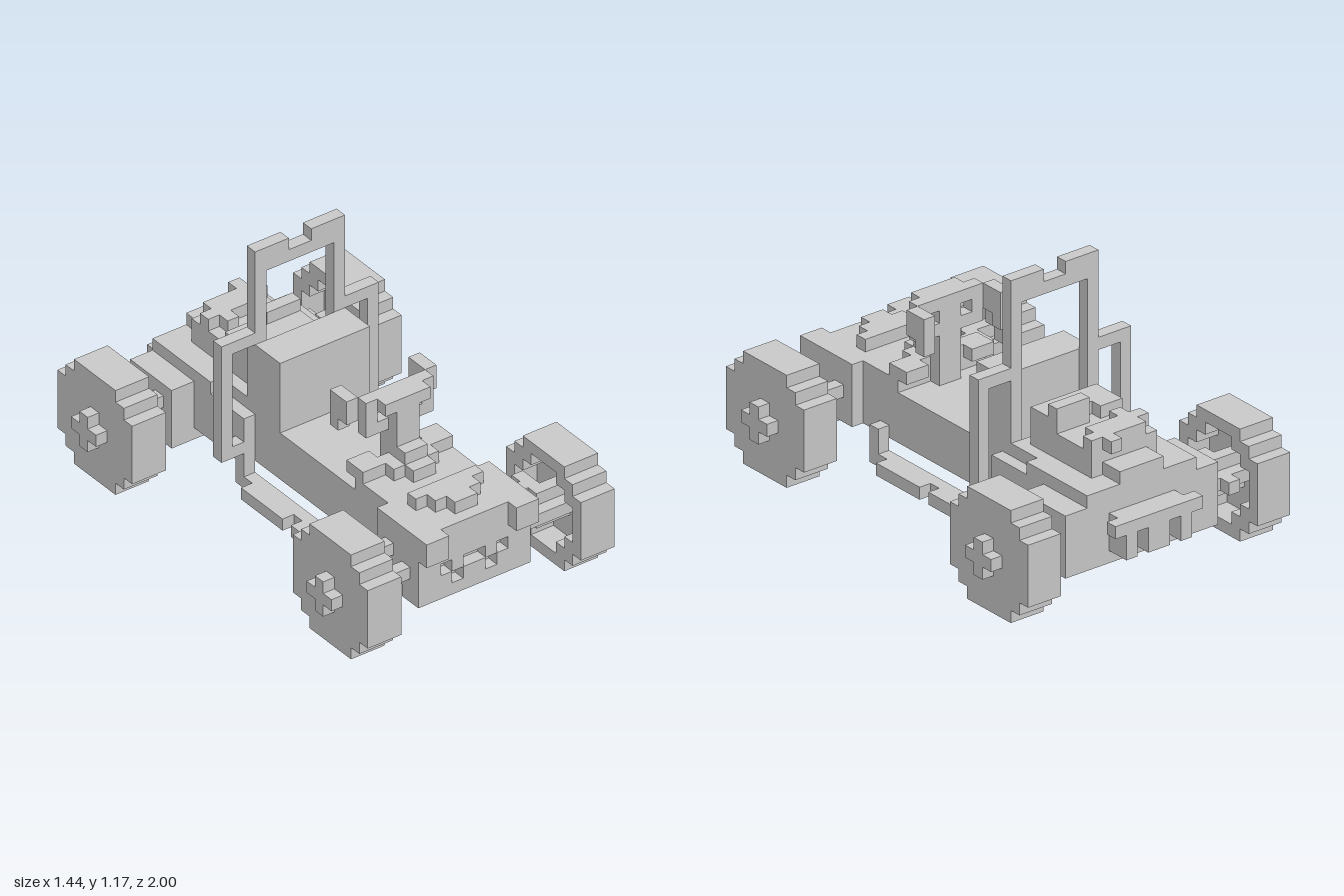
import * as THREE from 'three';

const U = 1 / 18; // one block

export function createModel() {
  const root = new THREE.Group();
  const grey = new THREE.MeshStandardMaterial({ color: 0xc8c8c8 });
  grey.name = 'plain grey';

  function part(name) {
    const g = new THREE.Group();
    g.name = name;
    root.add(g);
    return g;
  }
  // Box given by its limits in blocks
  function box(parent, name, x0, x1, y0, y1, z0, z1) {
    const m = new THREE.Mesh(new THREE.BoxGeometry((x1 - x0) * U, (y1 - y0) * U, (z1 - z0) * U), grey);
    m.position.set((x0 + x1) / 2 * U, (y0 + y1) / 2 * U, (z0 + z1) / 2 * U);
    m.name = name;
    parent.add(m);
  }
  function pair(parent, name, x0, x1, ...rest) {
    box(parent, name + 'Left', x0, x1, ...rest);
    box(parent, name + 'Right', -x1, -x0, ...rest);
  }

  // Stepped round outline from corner points of one quadrant
  function stepped(quadrant, Type) {
    const pts = [];
    for (let q = 0; q < 4; q++) {
      for (const [x, y] of quadrant) {
        const p = new THREE.Vector2(x * U, y * U);
        pts.push(p.rotateAround(new THREE.Vector2(), q * Math.PI / 2));
      }
    }
    return new Type(pts);
  }
  const tyreSteps = [[4.5, 2.5], [3.5, 2.5], [3.5, 3.5], [2.5, 3.5], [2.5, 4.5]];
  const rimSteps = [[3.5, 1.5], [2.5, 1.5], [2.5, 2.5], [1.5, 2.5], [1.5, 3.5]];
  const hubSteps = [[1.5, 0.5], [0.5, 0.5], [0.5, 1.5]];

  function disc(parent, name, outline, x0, x1, z, hole) {
    const s = stepped(outline, THREE.Shape);
    if (hole) s.holes.push(stepped(hole, THREE.Path));
    const geo = new THREE.ExtrudeGeometry(s, { depth: (x1 - x0) * U, bevelEnabled: false });
    geo.rotateY(Math.PI / 2);
    const m = new THREE.Mesh(geo, grey);
    m.position.set(x0 * U, 4.5 * U, z * U);
    m.name = name;
    parent.add(m);
  }

  // Wheels: solid outer face, hollow inner side, cross-shaped hubs
  for (const [end, xi, z] of [['front', 8, 13.5], ['rear', 9, -13.5]]) {
    for (const side of [1, -1]) {
      const g = part(end + 'Wheel' + (side > 0 ? 'Left' : 'Right'));
      const layer = (name, o, a, b, h) =>
        disc(g, name, o, Math.min(side * a, side * b), Math.max(side * a, side * b), z, h);
      layer('tyreFace', tyreSteps, xi + 2, xi + 3);
      layer('tyreRing', tyreSteps, xi, xi + 2, rimSteps);
      layer('hubCross', hubSteps, xi + 3, xi + 4);
      layer('innerHub', hubSteps, xi - 1, xi + 2);
    }
  }
  const axles = part('axles');
  pair(axles, 'frontArmLower', 5, 8, 4, 5, 14, 15);
  pair(axles, 'frontArmUpper', 5, 8, 5, 6, 12, 13);
  pair(axles, 'steeringLink', 7, 8, 4, 6, 11, 12);
  pair(axles, 'rearArmLower', 7, 9, 4, 5, -15, -14);
  pair(axles, 'rearArmUpper', 7, 9, 5, 6, -13, -12);
  pair(axles, 'rearHubBlock', 8, 9, 4, 5, -16, -11);

  // Hood with vented nose
  const hood = part('hood');
  box(hood, 'hoodBack', -4, 4, 3, 8, 9, 11);
  box(hood, 'hoodFront', -5, 5, 3, 8, 11, 15);
  box(hood, 'keel', -2, 2, 2, 3, 9, 14);
  box(hood, 'noseTop', -5, 5, 5, 8, 15, 16);
  box(hood, 'noseSkirt', -5, 5, 2, 3, 14, 16);
  pair(hood, 'noseSide', 3, 5, 3, 5, 15, 16);
  pair(hood, 'grilleTooth', 1, 2, 4, 5, 15, 16);
  pair(hood, 'grilleOuterTooth', 2, 3, 3, 4, 15, 16);
  box(hood, 'grilleMiddleTooth', -1, 1, 3, 4, 15, 16);
  pair(hood, 'headlamp', 3, 5, 6, 8, 16, 17);
  for (let i = 0; i < 3; i++) box(hood, 'hoodChevron', i - 3, 3 - i, 8, 9, 12 + i, 13 + i);

  // Cockpit floor and the slatted frame underneath
  const chassis = part('chassis');
  box(chassis, 'floor', -4, 4, 5, 7, -9, 9);
  pair(chassis, 'frameRail', 3, 4, 3, 5, -9, 9);
  for (let z = -9; z < 9; z += 4) box(chassis, 'crossSlat', -3, 3, 3, 5, z, z + 1);
  pair(chassis, 'rearSidePanel', 4, 5, 3, 7, -9, -5);

  // Side skid bars with a widened step at each seat end
  const skids = part('skidBars');
  for (const z of [8, -6]) pair(skids, 'strut', 4, 5, 1, 4, z, z + 1);
  pair(skids, 'bar', 4, 5, 1, 2, -5, 8);
  pair(skids, 'frontStep', 5, 6, 1, 2, 2, 7);
  pair(skids, 'rearStep', 5, 6, 1, 2, -4, 1);

  // Dashboard, steering column and yoke
  const steering = part('steering');
  box(steering, 'dashboard', -4, 4, 7, 8, 7, 9);
  box(steering, 'dashTop', -2, 2, 8, 9, 7, 9);
  box(steering, 'dashPoint', -1, 1, 8, 9, 9, 10);
  pair(steering, 'dashWing', 2, 4, 8, 9, 6, 8);
  box(steering, 'columnBase', -1, 1, 9, 10, 6, 9);
  box(steering, 'column', -1, 1, 7, 9, 6, 7);
  box(steering, 'columnTop', -1, 1, 10, 14, 6, 8);
  pair(steering, 'yokeTop', 1, 2, 13, 14, 6, 8);
  pair(steering, 'yokeShoulder', 2, 3, 12, 14, 6, 7);
  pair(steering, 'yokeSpoke', 1, 3, 11, 12, 6, 7);
  pair(steering, 'grip', 3, 4, 12, 14, 4, 6);
  pair(steering, 'gripTip', 3, 4, 11, 12, 4, 5);

  const seat = part('seat');
  box(seat, 'seatBack', -4, 4, 7, 13, -5, -2);

  // Roll bar with shoulder hoops
  const roll = part('rollBar');
  pair(roll, 'leg', 3, 4, 7, 19, -6, -5);
  box(roll, 'crossBar', -4, 4, 19, 20, -6, -5);
  pair(roll, 'topCorner', 1, 4, 20, 21, -6, -5);
  pair(roll, 'shoulderBar', 4, 6, 13, 14, -6, -5);
  pair(roll, 'outerPost', 6, 7, 4, 14, -6, -5);
  pair(roll, 'postFoot', 5, 6, 4, 5, -6, -5);

  // Rear body and bumper
  const rear = part('rearBody');
  box(rear, 'rearCore', -5, 5, 3, 8, -16, -9);
  pair(rear, 'rearShoulder', 5, 7, 3, 7, -16, -11);
  for (const z of [-16, -12]) box(rear, 'rearSkirt', -7, 7, 2, 3, z, z + 1);
  box(rear, 'rearKeel', -2, 2, 2, 3, -15, -12);
  box(rear, 'rearDeck', -4, 4, 7, 8, -9, -6);
  box(rear, 'bumperMount', -3, 3, 5, 6, -17, -16);
  box(rear, 'bumperBar', -4, 4, 5, 6, -18, -17);
  pair(rear, 'bumperLobe', 2, 3, 3, 5, -18, -16);
  box(rear, 'bumperMiddle', -1, 1, 3, 5, -18, -16);

  // Engine with two cross-shaped heads
  const engine = part('engine');
  box(engine, 'engineBase', -3, 3, 8, 10, -14, -7);
  box(engine, 'frontCover', -3, 3, 10, 11, -9, -7);
  box(engine, 'intake', 0, 3, 10, 12, -10, -9);
  box(engine, 'intakeStub', -3, -1, 10, 11, -10, -9);
  box(engine, 'rearBlock', -2, 2, 8, 9, -16, -14);
  for (const [name, x, z] of [['leftHead', 1, -14], ['rightHead', -2, -13]]) {
    box(engine, name + 'Bar', x, x + 1, 10, 11, z - 1, z + 2);
    pair(engine, name + 'Arm', Math.abs(x + 0.5) - 1.5, Math.abs(x + 0.5) - 0.5, 10, 11, z, z + 1);
    box(engine, name + 'Side', x > 0 ? 2 : -3, x > 0 ? 3 : -2, 10, 11, z, z + 1);
  }
  return root;
}
